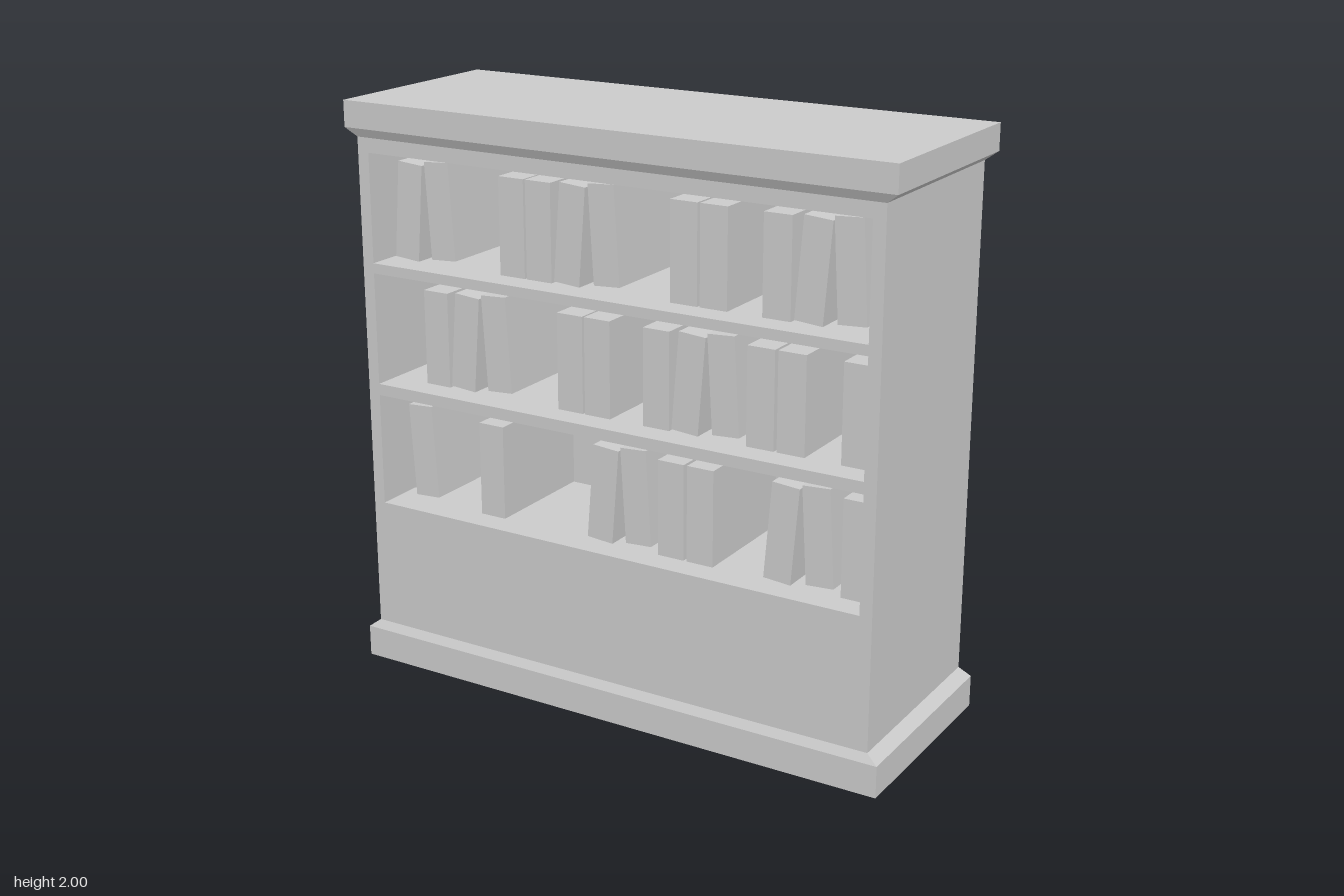
import * as THREE from 'three';

const material = new THREE.MeshStandardMaterial({ color: 0xcccccc, flatShading: true });

const BODY = { w: 0.96, d: 0.355, bottom: 0.14, top: 1.88 }; // half width, half depth
const RIM = { w: 1, d: 0.37 };
const BACK = -0.16; // z of the wall behind the books
const BOOK = { w: 0.097, h: 0.33, front: 0.265 };

// Each shelf: floor and ceiling height, then books as [x, lean],
// lean 0 = upright, 1 = tipped to the right, -1 = tipped to the left
const shelves = [
  { floor: 0.595, ceiling: 0.99, books: [
    [-0.805, -1], [-0.515, 0], [-0.067, 1], [0.06, -1], [0.193, 0],
    [0.302, 0], [0.597, 1], [0.725, -1], [0.857, 0]] },
  { floor: 1.03, ceiling: 1.42, books: [
    [-0.73, 0], [-0.612, 1], [-0.483, -1], [-0.19, 0], [-0.085, 0], [0.138, 0],
    [0.257, 1], [0.383, -1], [0.515, 0], [0.623, 0], [0.845, 0]] },
  { floor: 1.455, ceiling: 1.83, books: [
    [-0.83, 1], [-0.7, -1], [-0.41, 0], [-0.305, 0], [-0.185, 1], [-0.055, -1],
    [0.238, 0], [0.345, 0], [0.565, 0], [0.687, 1], [0.81, -1]] },
];

function addMesh(parent, name, geometry) {
  const mesh = new THREE.Mesh(geometry, material);
  mesh.name = name;
  parent.add(mesh);
  return mesh;
}

function rect(path, x0, y0, x1, y1) {
  path.moveTo(x0, y0);
  path.lineTo(x1, y0);
  path.lineTo(x1, y1);
  path.lineTo(x0, y1);
  path.closePath();
  return path;
}

// Block from the outer end to the bevel line, then narrowing to the body
function moulding(outerY, bevelY, bodyY) {
  const up = bodyY > outerY;
  const geometry = new THREE.BoxGeometry(2 * RIM.w, 2, 2 * RIM.d, 1, 2, 1);
  const p = geometry.attributes.position;
  for (let i = 0; i < p.count; i++) {
    const level = Math.round(p.getY(i)) * (up ? 1 : -1); // -1 outer, 0 bevel, 1 body
    p.setY(i, [outerY, bevelY, bodyY][level + 1]);
    if (level === 1) {
      p.setX(i, Math.sign(p.getX(i)) * BODY.w);
      p.setZ(i, Math.sign(p.getZ(i)) * BODY.d);
    }
  }
  geometry.computeVertexNormals();
  return geometry;
}

export function createModel() {
  const model = new THREE.Group();
  model.name = 'bookcase';

  // Base and crown with bevelled edges
  addMesh(model, 'plinth', moulding(0, 0.11, BODY.bottom));
  addMesh(model, 'cornice', moulding(2, 1.91, BODY.top));

  // Carcass with three shelf openings
  const face = rect(new THREE.Shape(), -BODY.w, BODY.bottom, BODY.w, BODY.top);
  for (const s of shelves) face.holes.push(rect(new THREE.Path(), -0.917, s.floor, 0.917, s.ceiling));
  const carcass = new THREE.ExtrudeGeometry(face, { depth: BODY.d - BACK, bevelEnabled: false });
  addMesh(model, 'carcass', carcass.translate(0, 0, BACK));

  // Solid back closing the openings
  const backDepth = BACK + BODY.d;
  const back = addMesh(model, 'backPanel',
    new THREE.BoxGeometry(2 * BODY.w, BODY.top - BODY.bottom, backDepth));
  back.position.set(0, (BODY.top + BODY.bottom) / 2, BACK - backDepth / 2);

  // Books, upright or leaning
  const bookDepth = BOOK.front - BACK;
  const bookGeometry = new THREE.BoxGeometry(BOOK.w, BOOK.h, bookDepth);
  shelves.forEach((s, row) => {
    const books = new THREE.Group();
    books.name = `bookRow${row + 1}`;
    for (const [x, lean] of s.books) {
      const book = addMesh(books, 'book', bookGeometry);
      const lift = lean === 0 ? 0.166 : lean > 0 ? 0.17 : 0.184;
      book.position.set(x, s.floor + lift, BOOK.front - bookDepth / 2);
      book.rotation.z = lean > 0 ? -0.08 : lean < 0 ? 0.06 : 0;
    }
    model.add(books);
  });

  return model;
}
